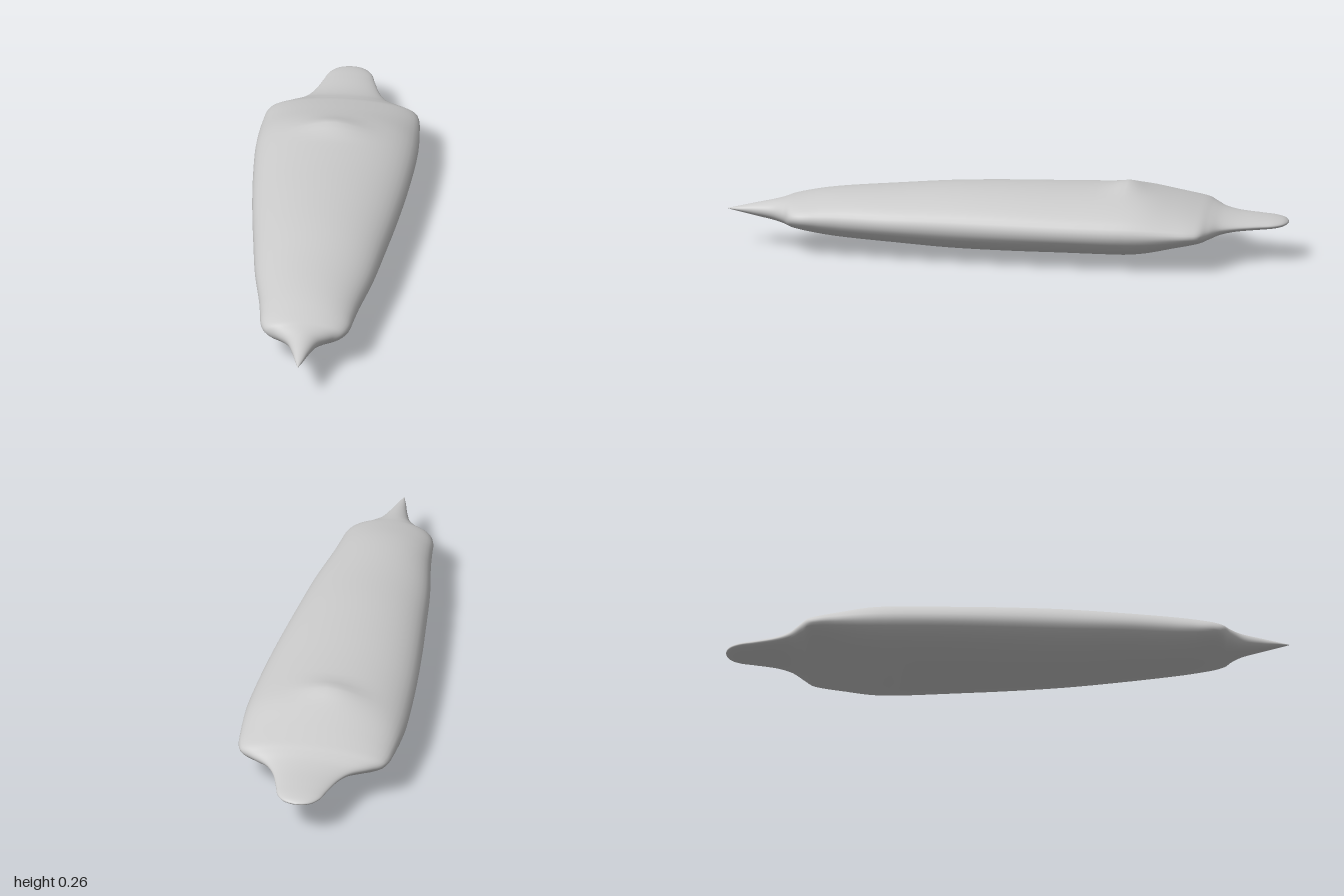
import * as THREE from 'three';

const CENTRE_Y = 0.131, CENTRE_X = -0.005;
const RINGS = 140, SIDES = 48;

// Cross-sections from front tip to back: [z, half width, half height]
const SECTIONS = [
  [1, 0, 0], [0.95, 0.016, 0.011], [0.9, 0.03, 0.022], [0.83, 0.058, 0.036],
  [0.79, 0.1, 0.044], [0.765, 0.139, 0.05], [0.73, 0.157, 0.058], [0.66, 0.167, 0.072],
  [0.58, 0.178, 0.082], [0.4, 0.21, 0.094], [0.2, 0.235, 0.107], [0, 0.258, 0.111],
  [-0.2, 0.276, 0.111], [-0.42, 0.288, 0.111], [-0.5, 0.287, 0.104], [-0.6, 0.28, 0.08],
  [-0.67, 0.271, 0.062], [-0.7, 0.258, 0.054], [-0.73, 0.215, 0.044], [-0.77, 0.155, 0.033],
  [-0.82, 0.12, 0.026], [-0.9, 0.092, 0.021], [-0.95, 0.077, 0.017], [-0.98, 0.055, 0.012],
  [-0.994, 0.03, 0.006], [-1, 0, 0],
];

// Soft hump on the upper and lower face, steeper towards the front
function hump(x, z) {
  const dz = (z + 0.425) / (z > -0.425 ? 0.045 : 0.06);
  const dx = (x + 0.02) / 0.1;
  return 0.02 * Math.exp(-dz * dz - dx * dx);
}

// Elliptical sections lofted along a smooth curve of (half width, half height, z)
function loftGeometry() {
  const profile = new THREE.CatmullRomCurve3(
    SECTIONS.map(([z, w, h]) => new THREE.Vector3(w, h, z)), false, 'centripetal');
  const positions = [], indices = [];
  for (let i = 0; i <= RINGS; i++) {
    const p = profile.getPoint(i / RINGS);
    const w = Math.max(p.x, 0), h = Math.max(p.y, 0);
    for (let j = 0; j < SIDES; j++) {
      const a = (j / SIDES) * Math.PI * 2;
      const x = w * Math.cos(a) + CENTRE_X;
      const y = (h + hump(x, p.z)) * Math.sin(a) + CENTRE_Y;
      positions.push(x, y, p.z);
      if (i === RINGS) continue;
      const k = (j + 1) % SIDES;
      const a0 = i * SIDES + j, a1 = i * SIDES + k;
      const b0 = a0 + SIDES, b1 = a1 + SIDES;
      if (i < RINGS - 1) indices.push(a0, b0, b1);
      else indices.push(a0, b0, a1);
      if (i > 0 && i < RINGS - 1) indices.push(a0, b1, a1);
    }
  }
  const geometry = new THREE.BufferGeometry();
  geometry.setAttribute('position', new THREE.Float32BufferAttribute(positions, 3));
  geometry.setIndex(indices);
  geometry.computeVertexNormals();
  return geometry;
}

export function createModel() {
  const group = new THREE.Group();
  // Flattened body with pointed front and rounded tail lobe
  const body = new THREE.Mesh(loftGeometry(), new THREE.MeshStandardMaterial({ color: 0xcccccc }));
  body.name = 'body';
  group.add(body);
  return group;
}
